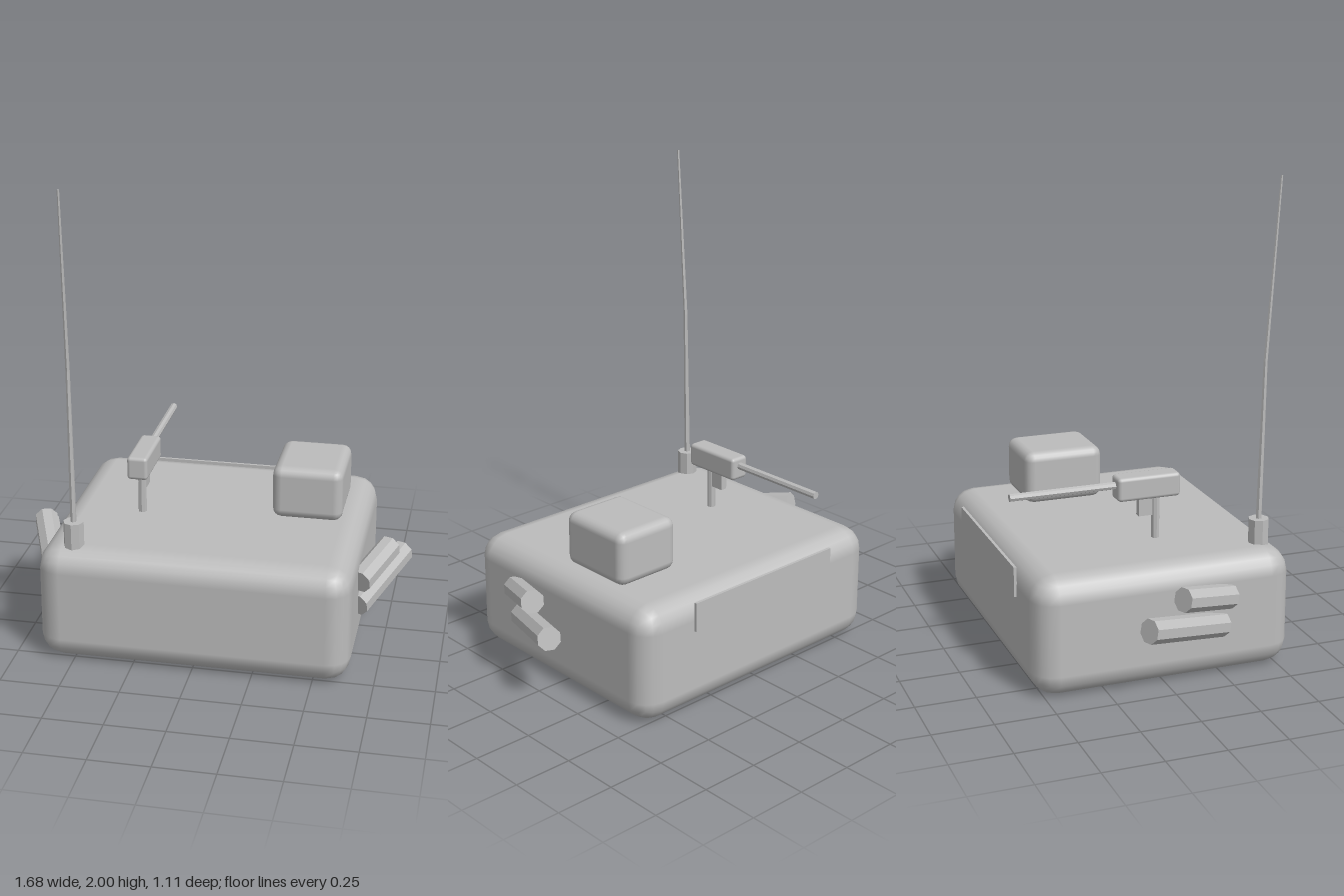
import * as THREE from 'three';
import { RoundedBoxGeometry } from 'three/addons/geometries/RoundedBoxGeometry.js';

export function createModel() {
  const model = new THREE.Group();
  model.name = 'turret';
  const grey = new THREE.MeshStandardMaterial({ color: 0xbcbcbc });
  grey.name = 'grey';
  const greyFaceted = grey; // one colour throughout

  const add = (name, geometry, x = 0, y = 0, z = 0) => {
    const mesh = new THREE.Mesh(geometry, greyFaceted);
    mesh.name = name;
    mesh.position.set(x, y, z);
    model.add(mesh);
    return mesh;
  };

  // Faceted rod between two points
  const rod = (name, from, to, r0, r1, sides) => {
    const a = new THREE.Vector3(...from);
    const b = new THREE.Vector3(...to);
    const dir = b.clone().sub(a);
    const geometry = new THREE.CylinderGeometry(r1, r0, dir.length(), sides).toNonIndexed();
    geometry.computeVertexNormals();
    const mesh = add(name, geometry);
    mesh.position.copy(a).add(b).multiplyScalar(0.5);
    mesh.quaternion.setFromUnitVectors(new THREE.Vector3(0, 1, 0), dir.normalize());
    return mesh;
  };

  // Hull and roof box
  add('body', new RoundedBoxGeometry(1.3, 0.5, 1.1, 2, 0.1), 0, 0.25, 0.005);
  add('roofBox', new RoundedBoxGeometry(0.3, 0.23, 0.35, 2, 0.04), 0.4, 0.615, -0.12);

  // Rear panel
  add('rearPanel', new THREE.BoxGeometry(0.775, 0.125, 0.012), -0.003, 0.418, -0.549);

  // Roof gun: post, receiver, magazine and barrel
  const gunX = -0.303;
  rod('gunPost', [gunX, 0.48, 0.083], [gunX, 0.7, 0.083], 0.018, 0.018, 8);
  add('gunReceiver', new RoundedBoxGeometry(0.088, 0.1, 0.272, 2, 0.015), gunX, 0.73, 0.042);
  add('gunMagazine', new THREE.BoxGeometry(0.03, 0.1, 0.06), gunX, 0.652, 0.035);
  rod('gunBarrel', [gunX, 0.742, -0.05], [gunX, 0.742, -0.542], 0.016, 0.016, 8);

  // Antenna with a slight backward bend
  const antX = -0.503;
  rod('antennaBase', [antX, 0.48, 0.457], [antX, 0.602, 0.457], 0.043, 0.043, 8);
  rod('antennaLower', [antX, 0.58, 0.457], [antX, 1.26, 0.471], 0.013, 0.009, 6);
  rod('antennaUpper', [antX, 1.26, 0.471], [antX, 2, 0.521], 0.009, 0.005, 6);

  // Paired launcher tubes on both sides
  for (const [side, label] of [[1, 'left'], [-1, 'right']]) {
    rod(label + 'LowerTube', [side * 0.645, 0.224, 0.24], [side * 0.795, 0.308, -0.135], 0.051, 0.051, 8);
    rod(label + 'UpperTube', [side * 0.655, 0.345, 0.268], [side * 0.753, 0.4, 0.023], 0.051, 0.051, 8);
  }

  return model;
}
